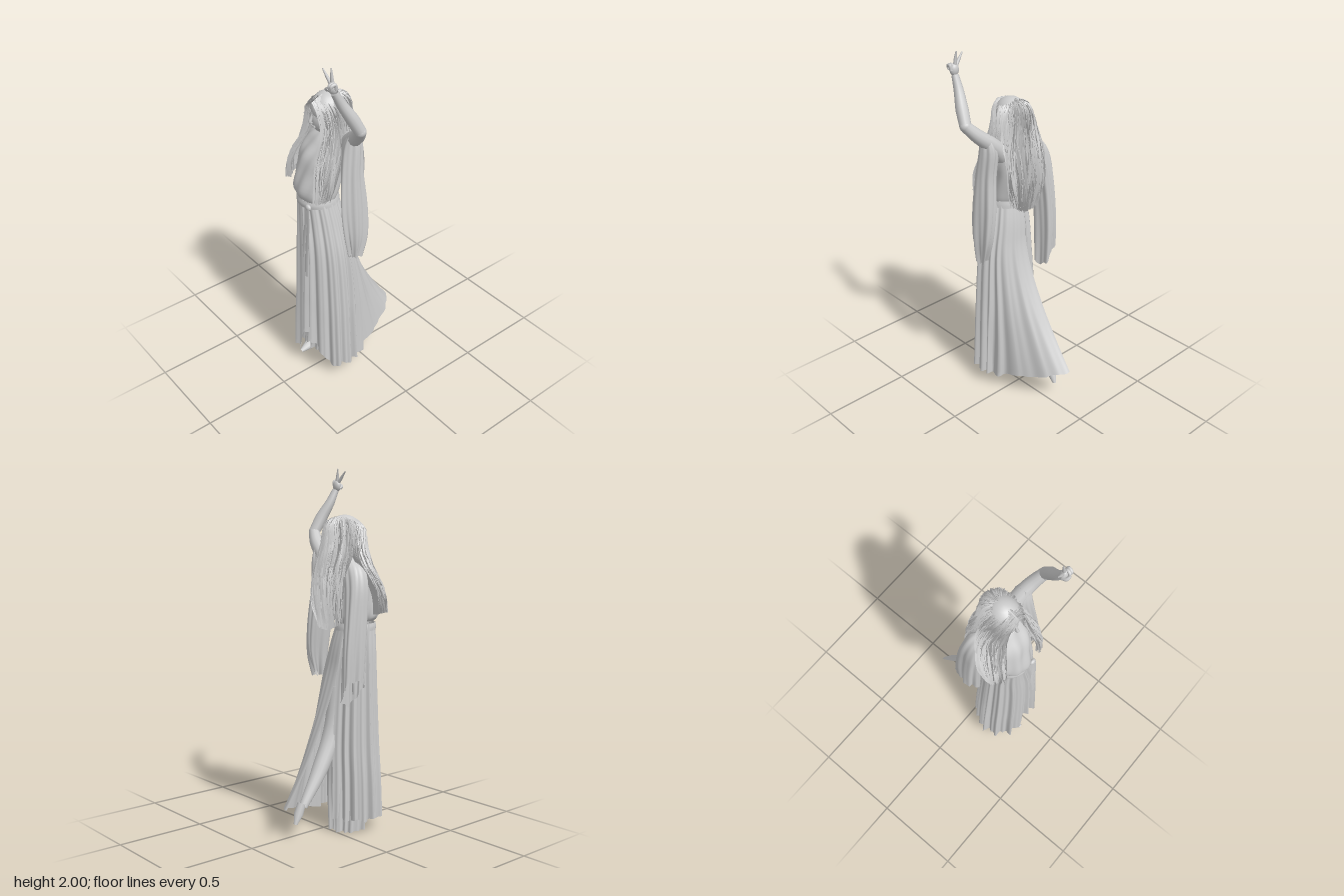
import * as THREE from 'three';
import { mergeGeometries } from 'three/addons/utils/BufferGeometryUtils.js';

const material = new THREE.MeshStandardMaterial({ color: 0xcccccc, roughness: 0.8, side: THREE.DoubleSide });
const V = (x, y, z) => new THREE.Vector3(x, y, z);
const { clamp, lerp, smoothstep } = THREE.MathUtils;

let seed = 7;
const rand = () => (seed = (seed * 16807) % 2147483647) / 2147483647;

// Surface from point(u, v); u runs around, v runs down
function grid(nu, nv, point, closed = false) {
  const cols = closed ? nu : nu + 1, pos = [], idx = [];
  for (let j = 0; j <= nv; j++)
    for (let i = 0; i < cols; i++) pos.push(...point(i / nu, j / nv).toArray());
  for (let j = 0; j < nv; j++)
    for (let i = 0; i < nu; i++) {
      const a = j * cols + i, b = j * cols + ((i + 1) % cols), c = a + cols, d = b + cols;
      idx.push(a, c, b, b, c, d);
    }
  const g = new THREE.BufferGeometry();
  g.setAttribute('position', new THREE.Float32BufferAttribute(pos, 3));
  g.setIndex(idx);
  g.computeVertexNormals();
  return g;
}

// Oval sections, each [y, xMin, xMax, zFront, zBack], with an optional vertex rule and open slit angle
function loft(rows, nu, nv, rule, slit = 0) {
  const a = new THREE.CatmullRomCurve3(rows.map(r => V(r[0], r[1], r[2])), false, 'catmullrom');
  const b = new THREE.CatmullRomCurve3(rows.map(r => V(r[3], r[4], 0)), false, 'catmullrom');
  return grid(nu, nv, (u, v) => {
    const p = a.getPoint(v), q = b.getPoint(v), ang = slit + u * Math.PI * 2;
    const s = Math.sin(ang), c = Math.cos(ang);
    const out = V((p.y + p.z) / 2 + s * (p.z - p.y) / 2, p.x, (q.x + q.y) / 2 + c * (q.x - q.y) / 2);
    if (rule) rule(out, ang, v, s, c);
    return out;
  }, !slit);
}

// Tube whose radius follows a list of radii
function limb(points, radii, sides = 10) {
  const curve = new THREE.CatmullRomCurve3(points.map(p => V(...p)));
  const n = 16, g = new THREE.TubeGeometry(curve, n, 1, sides), pos = g.attributes.position, p = V(0, 0, 0);
  for (let i = 0; i < pos.count; i++) {
    const t = Math.floor(i / (sides + 1)) / n, c = curve.getPointAt(t);
    const f = t * (radii.length - 1), k = Math.min(Math.floor(f), radii.length - 2);
    p.fromBufferAttribute(pos, i).sub(c).multiplyScalar(lerp(radii[k], radii[k + 1], f - k)).add(c);
    pos.setXYZ(i, p.x, p.y, p.z);
  }
  return g;
}

const blob = (x, y, z, rx, ry, rz) => new THREE.SphereGeometry(1, 20, 14).scale(rx, ry, rz).translate(x, y, z);
const pleat = a => 1 - 2 * Math.abs(Math.sin(8.5 * a + Math.sin(3 * a))) + 0.5 * Math.sin(27 * a);
// Long rounded slope from 1 at x0 to 0 at x1
const slope = (x, x0, x1) => 1 - Math.pow(clamp((x - x0) / (x1 - x0), 0, 1), 1.7);

export function createModel() {
  const model = new THREE.Group();
  const add = (name, geometry, parent = model) => {
    const m = new THREE.Mesh(geometry, material);
    m.name = name;
    parent.add(m);
  };
  const group = name => {
    const g = new THREE.Group();
    g.name = name;
    model.add(g);
    return g;
  };

  // Pleated skirt, slit at the back beside a blown-out train, with a gap over the front foot
  add('skirt', loft([
    [1.16, -0.17, 0.04, 0.28, 0.07], [1.0, -0.185, 0.08, 0.285, 0.04], [0.8, -0.195, 0.125, 0.295, 0.02],
    [0.5, -0.21, 0.15, 0.305, 0], [0.3, -0.225, 0.16, 0.31, -0.005], [0.08, -0.235, 0.17, 0.315, -0.01],
  ], 180, 32, (p, a, v, s, c) => {
    const train = a > 2 * Math.PI ? smoothstep(-c, 0, 0.3) * slope(p.x, -0.08, 0.145) : 0;
    const gap = smoothstep(c, 0, 0.3) * smoothstep(p.x, -0.1, -0.05) * slope(p.x, -0.05, 0.13);
    const amp = (0.004 + 0.011 * v) * (1 - 0.85 * train);
    const k = clamp((0.92 - p.y) / 0.84, 0, 1);
    p.x += s * amp * pleat(a);
    p.z += c * amp * pleat(a) - 0.325 * Math.pow(k, 1.6) * train;
    p.y = 1.16 - (1.16 - p.y) * (1 - (0.12 * train + 0.2 * gap) / 1.08);
    p.y += 0.006 * v * v * Math.sin(11 * a);
  }, 3.4));

  // Inner folds below the hem
  add('underskirt', loft([
    [0.5, -0.17, 0.07, 0.26, 0.03], [0.25, -0.19, 0.06, 0.26, 0.01], [0.005, -0.19, 0.02, 0.26, 0.0],
  ], 110, 10, (p, a, v, s, c) => {
    p.x += s * 0.012 * v * pleat(a);
    p.z += c * 0.012 * v * pleat(a);
    p.y += v * (0.08 * smoothstep(c, -0.3, 0.8) + 0.004 * (1 + Math.sin(9 * a)));
  }));

  // Draped bodice that overhangs the belt, with folds sweeping down to one side
  add('bodice', loft([
    [1.53, -0.1, -0.02, 0.14, 0.06], [1.5, -0.15, 0.05, 0.175, 0.04], [1.46, -0.18, 0.085, 0.205, 0.03],
    [1.4, -0.185, 0.085, 0.25, 0.025], [1.32, -0.185, 0.065, 0.275, 0.03], [1.23, -0.185, 0.055, 0.3, 0.05],
    [1.18, -0.18, 0.045, 0.295, 0.06], [1.15, -0.16, 0.03, 0.27, 0.08],
  ], 80, 24, (p, a, v, s, c) => {
    const fold = 0.005 * Math.sin(Math.PI * v) * Math.sin(10 * a + 9 * v);
    p.x += s * fold;
    p.z += c * fold;
    p.y -= 0.02 * v * s;
  }));

  // Belt, knot and hanging sash
  const belt = group('belt');
  add('beltBand', loft([[1.16, -0.17, 0.043, 0.288, 0.065], [1.14, -0.174, 0.048, 0.292, 0.06],
    [1.12, -0.174, 0.05, 0.288, 0.058]], 48, 6), belt);
  add('beltKnot', blob(0, 1.14, 0.287, 0.02, 0.018, 0.013), belt);
  [[-0.01, 0.85], [0.004, 0.7]].forEach(([x, end]) => add('sashTail',
    grid(2, 8, (u, v) => V(x + (u - 0.5) * 0.026 + 0.006 * Math.sin(6 * v), lerp(1.14, end, v),
      0.295 + 0.018 * v + 0.006 * Math.sin(u * Math.PI))), belt));

  // Head and face, the jaw narrowed below the cheeks
  const head = group('head');
  const skull = blob(0, 0, 0, 0.07, 0.108, 0.1), sp = skull.attributes.position;
  for (let i = 0; i < sp.count; i++) {
    const d = Math.max(0, -sp.getY(i) / 0.108);
    sp.setX(i, sp.getX(i) * (1 - 0.28 * d * d));
    if (sp.getZ(i) < 0) sp.setZ(i, sp.getZ(i) * (1 - 0.3 * d));
  }
  skull.translate(-0.058, 1.615, 0.108).computeVertexNormals();
  add('skull', skull, head);
  add('nose', limb([[-0.058, 1.645, 0.198], [-0.058, 1.615, 0.21], [-0.058, 1.597, 0.216], [-0.058, 1.588, 0.2]],
    [0.004, 0.007, 0.01, 0.005], 8), head);
  [-1, 1].forEach(s => {
    add('eye', blob(-0.058 + s * 0.027, 1.632, 0.195, 0.012, 0.004, 0.005), head);
    add('brow', limb([[-0.058 + s * 0.012, 1.648, 0.202], [-0.058 + s * 0.03, 1.653, 0.194],
      [-0.058 + s * 0.045, 1.645, 0.18]], [0.002, 0.003, 0.001], 6), head);
  });
  add('upperLip', blob(-0.058, 1.572, 0.197, 0.017, 0.004, 0.006), head);
  add('lowerLip', blob(-0.058, 1.565, 0.195, 0.014, 0.005, 0.006), head);
  add('neck', limb([[-0.05, 1.43, 0.1], [-0.052, 1.5, 0.105], [-0.055, 1.57, 0.105]], [0.06, 0.042, 0.04], 14), head);

  // Long hair: guide locks from right front, round the back, to left front
  const guides = [
    [[-0.047, 1.715, 0.205], [-0.098, 1.665, 0.205], [-0.122, 1.55, 0.2], [-0.15, 1.45, 0.225], [-0.19, 1.33, 0.265], [-0.205, 1.22, 0.265]],
    [[-0.047, 1.738, 0.15], [-0.118, 1.688, 0.135], [-0.15, 1.57, 0.1], [-0.205, 1.47, 0.1], [-0.255, 1.34, 0.15], [-0.245, 1.22, 0.18]],
    [[-0.046, 1.742, 0.1], [-0.108, 1.705, 0.055], [-0.145, 1.57, 0.035], [-0.16, 1.45, 0], [-0.155, 1.3, -0.02], [-0.125, 1.16, 0]],
    [[-0.045, 1.742, 0.09], [-0.045, 1.705, 0.012], [-0.05, 1.59, -0.005], [-0.045, 1.45, -0.035], [-0.045, 1.3, -0.04], [-0.045, 1.13, -0.01]],
    [[-0.045, 1.742, 0.1], [0.013, 1.705, 0.045], [0.04, 1.57, 0.025], [0.065, 1.45, 0.005], [0.07, 1.3, -0.01], [0.035, 1.16, 0.005]],
    [[-0.045, 1.738, 0.15], [0.022, 1.688, 0.135], [0.05, 1.57, 0.12], [0.085, 1.45, 0.15], [0.108, 1.32, 0.2], [0.095, 1.2, 0.23]],
    [[-0.045, 1.715, 0.205], [-0.008, 1.665, 0.205], [0.012, 1.55, 0.205], [0.025, 1.45, 0.24], [0.042, 1.32, 0.28], [0.045, 1.18, 0.285]],
  ].map(g => new THREE.CatmullRomCurve3(g.map(p => V(...p)), false, 'catmullrom'));
  // Three falls of hair that part over the shoulders
  const falls = [[0, 1.5, 0, 1.1], [1.5, 4.5, 1.9, 4.1], [4.5, 6, 4.9, 6]];
  const hairPoint = (fall, u, t, lift) => {
    const w = lerp(u, clamp(u, fall[2], fall[3]), smoothstep(t, 0.4, 0.65));
    const p = new THREE.CatmullRomCurve3(guides.map(g => g.getPoint(t)), false, 'catmullrom').getPoint(clamp(w / 6, 0, 1));
    const out = V(p.x + 0.045, 0, p.z - 0.1).normalize();
    return p.addScaledVector(out, lift);
  };
  const hair = group('hair'), strands = [];
  add('hairCrown', blob(-0.046, 1.655, 0.11, 0.085, 0.09, 0.095), hair);
  falls.forEach(f => {
    add('hairFall', grid(16, 18, (u, v) => hairPoint(f, lerp(f[1], f[0], u), v * 0.94, -0.004)), hair);
    const count = Math.round((f[1] - f[0]) * 220);
    for (let i = 0; i < count; i++) {
      const u0 = lerp(f[0], f[1], rand()), lift = -0.012 + 0.022 * rand(), phase = rand() * 6;
      const start = rand() < 0.4 ? 0.01 : 0.7 * rand(), end = Math.min(1, start + 0.3 + 0.6 * rand());
      const tilt = (rand() < 0.5 ? -1 : 1) * (0.006 + 0.008 * rand());
      strands.push(grid(1, 8, (u, v) => {
        const t = lerp(start, end, v), width = 0.04 * (1 - Math.pow(v, 4));
        return hairPoint(f, u0 + (0.5 - u) * width * 2 + 0.07 * Math.sin(9 * t + phase), t,
          lift * smoothstep(t, 0, 0.2) + 0.004 * Math.sin(14 * t + phase) + (u - 0.5) * tilt);
      }));
    }
  });
  add('hairStrands', mergeGeometries(strands), hair);

  // Raised left arm with two fingers spread
  const arm = group('leftArm');
  add('upperArm', limb([[0.04, 1.45, 0.08], [0.12, 1.53, 0.09], [0.19, 1.59, 0.11], [0.243, 1.648, 0.138]],
    [0.05, 0.044, 0.038, 0.031], 12), arm);
  add('elbow', blob(0.243, 1.65, 0.139, 0.031, 0.031, 0.031), arm);
  add('forearm', limb([[0.243, 1.648, 0.138], [0.228, 1.73, 0.18], [0.208, 1.81, 0.225], [0.2, 1.88, 0.26]],
    [0.031, 0.034, 0.027, 0.019], 12), arm);
  add('palm', blob(0.197, 1.905, 0.268, 0.026, 0.032, 0.02), arm);
  add('indexFinger', limb([[0.186, 1.92, 0.268], [0.163, 1.95, 0.272], [0.135, 1.985, 0.276]], [0.01, 0.008, 0.003], 8), arm);
  add('middleFinger', limb([[0.195, 1.92, 0.266], [0.19, 1.96, 0.266], [0.184, 2.0, 0.264]], [0.01, 0.008, 0.003], 8), arm);
  [0.207, 0.22].forEach(x => add('curledFinger',
    limb([[x, 1.905, 0.265], [x + 0.002, 1.932, 0.272], [x - 0.002, 1.925, 0.292], [x - 0.006, 1.905, 0.29]],
      [0.009, 0.009, 0.009, 0.006], 8), arm));
  add('thumb', limb([[0.18, 1.89, 0.27], [0.184, 1.902, 0.292], [0.203, 1.915, 0.3]], [0.011, 0.01, 0.006], 8), arm);

  // Hanging sleeves; slant drops the hem towards the left
  const drape = (amp, slant) => (p, a, v, s, c) => {
    const f = amp * (0.3 + v) * (Math.sin(5 * a + 2 * v) + 0.5 * Math.sin(11 * a));
    p.x += s * f;
    p.z += c * f;
    p.y += v * v * (0.015 * Math.sin(2 * a + 1) + 0.008 * Math.sin(7 * a) - slant * s);
  };
  add('leftSleeve', loft([
    [1.585, 0.125, 0.165, 0.13, 0.07], [1.5, 0.085, 0.175, 0.15, 0.04], [1.35, 0.095, 0.185, 0.17, 0.045],
    [1.15, 0.115, 0.2, 0.185, 0.03], [0.98, 0.14, 0.205, 0.175, 0.04], [0.85, 0.155, 0.192, 0.15, 0.08],
  ], 56, 20, drape(0.007, 0)));
  add('rightSleeve', loft([
    [1.51, -0.15, -0.09, 0.12, 0.04], [1.46, -0.222, -0.11, 0.125, 0.01], [1.36, -0.255, -0.15, 0.12, -0.01],
    [1.2, -0.26, -0.175, 0.11, -0.03], [1.0, -0.26, -0.18, 0.1, -0.045], [0.81, -0.256, -0.175, 0.09, -0.045],
  ], 56, 20, drape(0.006, 0.07)));
  add('rightForearm', limb([[-0.2, 1.25, 0.04], [-0.222, 1.05, 0.03], [-0.228, 0.88, 0.02], [-0.228, 0.8, 0.02]],
    [0.035, 0.03, 0.02, 0.012]));

  // Legs and bare feet in mid stride
  const legs = group('legs');
  add('frontLeg', limb([[-0.07, 0.5, 0.19], [-0.075, 0.3, 0.21], [-0.08, 0.1, 0.225]], [0.045, 0.04, 0.025]), legs);
  add('frontFoot', limb([[-0.08, 0.11, 0.21], [-0.08, 0.1, 0.25], [-0.08, 0.08, 0.31]], [0.03, 0.028, 0.012]), legs);
  add('backLeg', limb([[-0.03, 0.8, 0.09], [-0.035, 0.55, 0.03], [-0.045, 0.36, -0.07], [-0.05, 0.18, -0.19]],
    [0.06, 0.052, 0.045, 0.024], 14), legs);
  add('backFoot', limb([[-0.05, 0.2, -0.2], [-0.05, 0.14, -0.225], [-0.05, 0.09, -0.245]], [0.024, 0.026, 0.01]), legs);

  return model;
}
